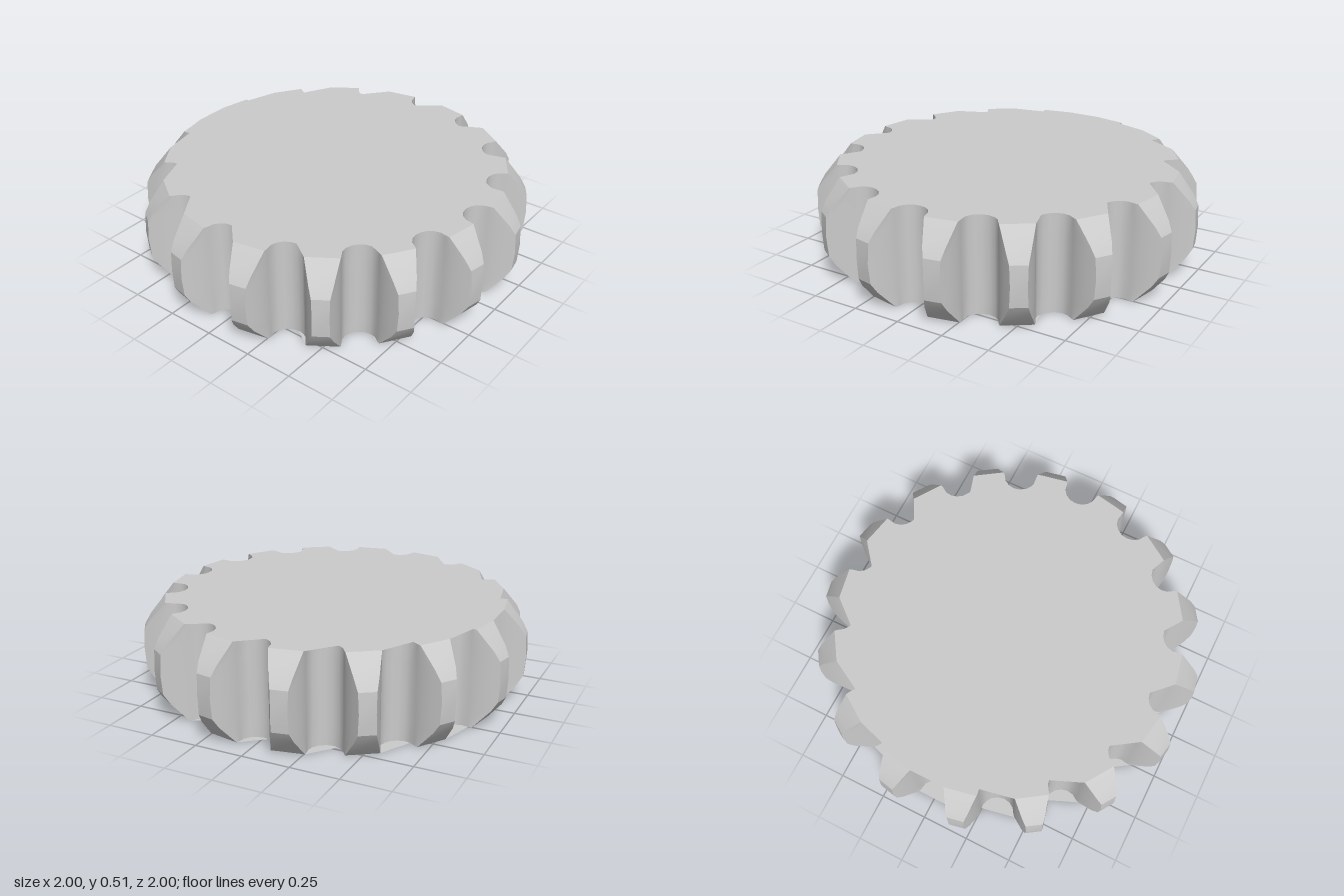
import * as THREE from 'three';
import { toCreasedNormals } from 'three/addons/utils/BufferGeometryUtils.js';

const TEETH = 16, STEP = (Math.PI * 2) / TEETH, HEIGHT = 0.51;
const ROOT_R = 0.87, ROOT_W = 0.085, TIP_R = 1.011;

// Tip radius at each height: chamfered at both ends, slightly barrelled
const LEVELS = [
  [0, 0.89], [0.1, 0.975], [0.15, 1.004], [HEIGHT / 2, TIP_R],
  [HEIGHT - 0.15, 1.004], [HEIGHT - 0.1, 0.975], [HEIGHT, 0.89],
];

// Half width of a tooth, narrowing towards the tip
const halfWidth = (r) =>
  ROOT_W - 0.045 * Math.pow(Math.max(0, (r - ROOT_R) / (TIP_R - ROOT_R)), 1.5);

// Outline of the gear at one height, running from +z towards +x
function outline(tipR) {
  const pts = [];
  const put = (angle, radial, across) => pts.push([
    radial * Math.sin(angle) + across * Math.cos(angle),
    radial * Math.cos(angle) - across * Math.sin(angle),
  ]);
  for (let i = 0; i < TEETH; i++) {
    const tooth = (i + 0.5) * STEP;
    for (let k = 0; k < 8; k++) {
      const t = (k < 4 ? k : 7 - k) / 3;
      const r = THREE.MathUtils.lerp(ROOT_R, tipR, t);
      put(tooth, r, (k < 4 ? -1 : 1) * halfWidth(r));
    }
    // Round valley after the tooth
    for (let k = 1; k < 8; k++) {
      const a = (k / 8) * Math.PI;
      put(tooth + STEP / 2, ROOT_R - 0.08 * Math.sin(a), -0.0865 * Math.cos(a));
    }
  }
  return pts;
}

function createGeometry(positions, index) {
  const geo = new THREE.BufferGeometry();
  geo.setAttribute('position', new THREE.Float32BufferAttribute(positions, 3));
  geo.setIndex(index);
  return geo;
}

// Toothed wall lofted through the levels
function wallGeometry() {
  const positions = [], index = [];
  const rings = LEVELS.map(([, r]) => outline(r));
  const n = rings[0].length;
  rings.forEach((ring, j) => ring.forEach(([x, z]) => positions.push(x, LEVELS[j][0], z)));
  for (let j = 0; j < rings.length - 1; j++) {
    for (let i = 0; i < n; i++) {
      const a = j * n + i, b = j * n + ((i + 1) % n);
      index.push(a, b, b + n, a, b + n, a + n);
    }
  }
  return toCreasedNormals(createGeometry(positions, index), 0.42);
}

// Flat cap fanned from one corner of a rear tooth, bridging the nearby valleys
function capGeometry(y, up) {
  const ring = outline(LEVELS[0][1]);
  const n = ring.length, hub = 7 * (n / TEETH) + 4;
  const index = [];
  for (let k = 1; k < n - 1; k++) {
    const a = (hub + k) % n, b = (hub + k + 1) % n;
    index.push(hub, up ? a : b, up ? b : a);
  }
  const geo = createGeometry(ring.flatMap(([x, z]) => [x, y, z]), index).toNonIndexed();
  geo.computeVertexNormals();
  return geo;
}

export function createModel() {
  const group = new THREE.Group();
  group.name = 'gear';
  const material = new THREE.MeshStandardMaterial({ color: 0xcccccc, side: THREE.DoubleSide });
  const add = (name, geo) => {
    const mesh = new THREE.Mesh(geo, material);
    mesh.name = name;
    group.add(mesh);
  };
  add('toothedWall', wallGeometry());
  add('topCap', capGeometry(HEIGHT, true));
  add('bottomCap', capGeometry(0, false));
  return group;
}
